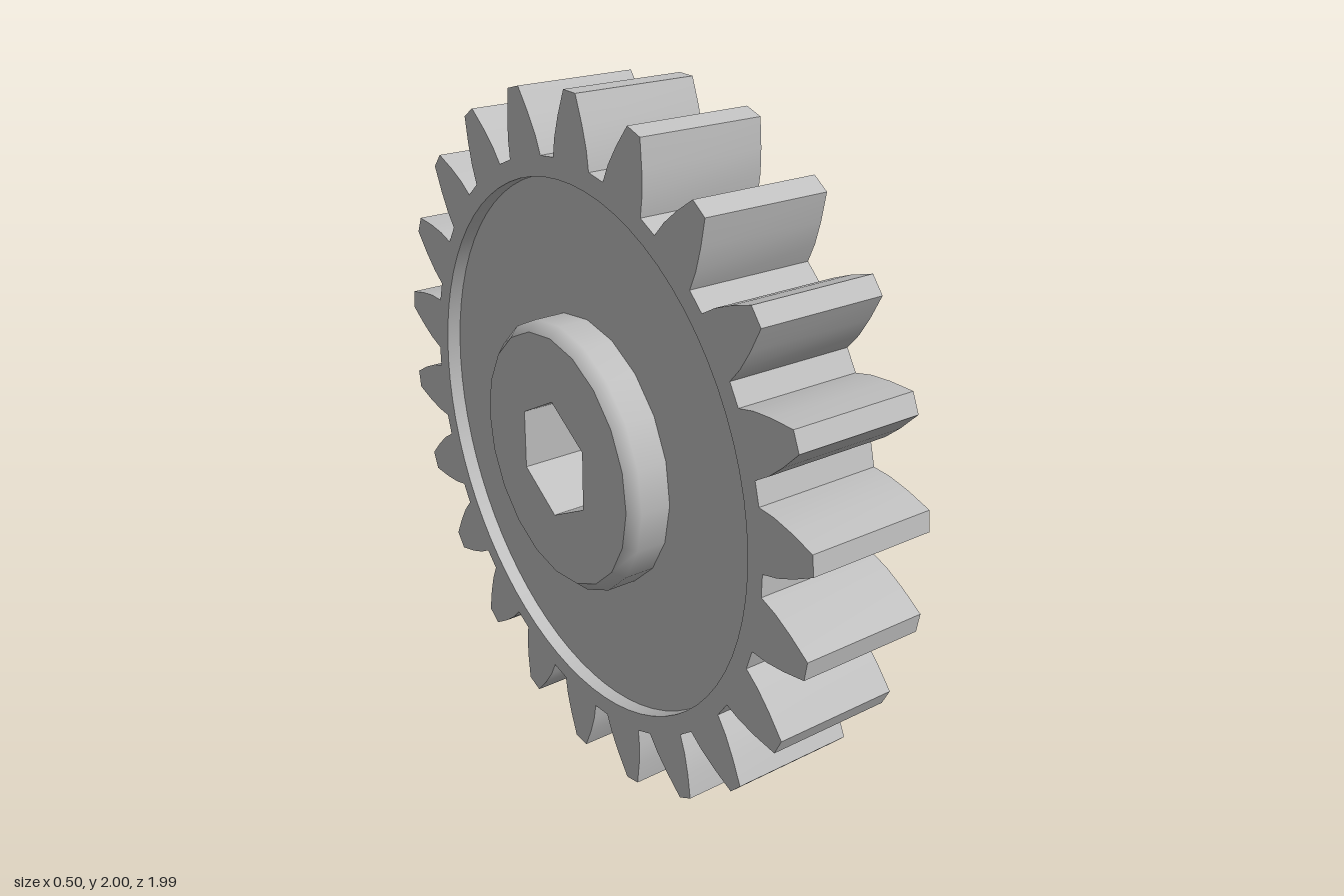
import * as THREE from 'three';
import { toCreasedNormals } from 'three/addons/utils/BufferGeometryUtils.js';

const TEETH = 22;

// Regular polygon outline with its first corner at the given angle
function ring(radius, sides, start = 0) {
  return Array.from({ length: sides }, (_, i) => {
    const a = start + (i / sides) * Math.PI * 2;
    return new THREE.Vector2(Math.cos(a) * radius, Math.sin(a) * radius);
  });
}

// Toothed outline: each tooth is mirrored about its own centre line
function toothedOutline() {
  const flank = [[0.085, 0.816], [0.076, 0.87], [0.057, 0.93], [0.028, 1]]; // half width, height
  const tooth = [
    ...flank.map(([w, h]) => new THREE.Vector2(w, h)),
    ...flank.slice().reverse().map(([w, h]) => new THREE.Vector2(-w, h)),
  ];
  const points = [];
  const centre = new THREE.Vector2();
  for (let i = 0; i < TEETH; i++) {
    const a = (i / TEETH) * Math.PI * 2;
    for (const p of tooth) points.push(p.clone().rotateAround(centre, a));
  }
  return points;
}

// Plate with a hole, centred on x = 0 and facing along the x axis
function plate(outline, hole, thickness) {
  const shape = new THREE.Shape(outline);
  shape.holes.push(new THREE.Path(hole));
  const geometry = new THREE.ExtrudeGeometry(shape, { depth: thickness, bevelEnabled: false });
  geometry.translate(0, 0, -thickness / 2);
  geometry.rotateY(Math.PI / 2);
  return toCreasedNormals(geometry, 0.4);
}

export function createModel() {
  const steel = new THREE.MeshStandardMaterial({ color: 0xc0c0c0 });
  steel.name = 'steelGrey';

  const gear = new THREE.Group();
  gear.name = 'gear';
  const add = (name, geometry) => {
    const mesh = new THREE.Mesh(geometry, steel);
    mesh.name = name;
    mesh.position.y = 1;
    gear.add(mesh);
  };

  // Outer rim with teeth, and the thinner web recessed on both sides
  add('toothedRim', plate(toothedOutline(), ring(0.765, 72), 0.356));
  add('web', plate(ring(0.78, 72), ring(0.33, 20), 0.27));

  // Hub core carries the end faces and the hexagonal bore
  add('hubCore', plate(ring(0.36, 20), ring(0.175, 6, Math.PI / 2), 0.504));

  // Hub sleeve with a chamfer at each end
  const sleeve = new THREE.LatheGeometry([
    new THREE.Vector2(0.36, -0.252),
    new THREE.Vector2(0.388, -0.222),
    new THREE.Vector2(0.388, 0.222),
    new THREE.Vector2(0.36, 0.252),
  ], 20);
  sleeve.rotateZ(-Math.PI / 2);
  add('hubSleeve', sleeve);

  return gear;
}
